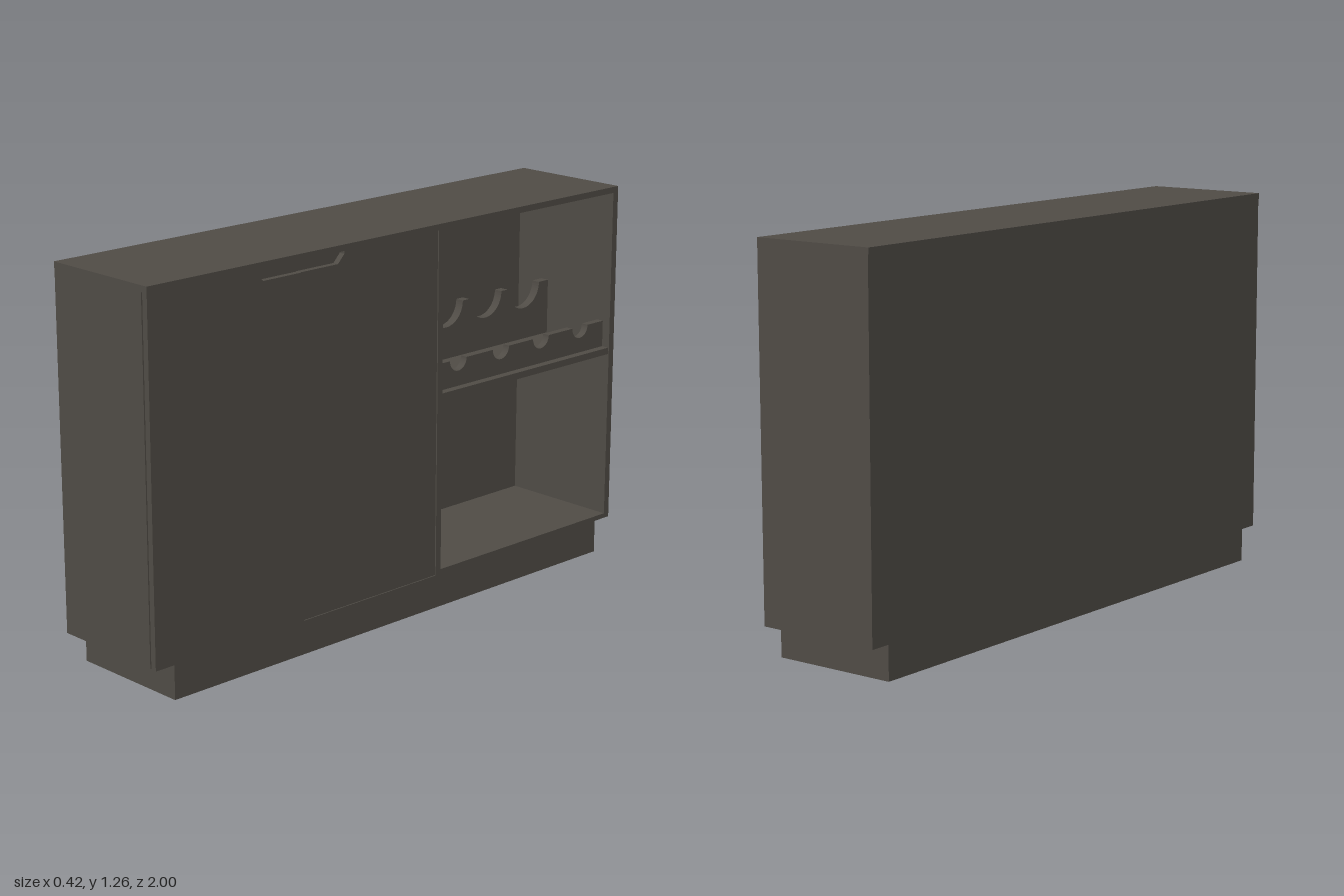
import * as THREE from 'three';

const BACK = -0.21, FRONT = 0.21, TOP = 1.26, BASE = 0.11, T = 0.02;

export function createModel() {
  const model = new THREE.Group();
  model.name = 'sideboard';
  const darkGrey = new THREE.MeshStandardMaterial({ color: 0x4f4b45 });
  darkGrey.name = 'dark grey';

  const add = (name, geometry) => {
    const mesh = new THREE.Mesh(geometry, darkGrey);
    mesh.name = name;
    model.add(mesh);
  };

  // Box given by its limits on each axis
  const panel = (name, x0, x1, y0, y1, z0, z1) => {
    const g = new THREE.BoxGeometry(x1 - x0, y1 - y0, z1 - z0);
    g.translate((x0 + x1) / 2, (y0 + y1) / 2, (z0 + z1) / 2);
    add(name, g);
  };

  // Upright board: outline drawn in (-z, y), thickness from x0 to x1
  const board = (name, shape, x0, x1) => {
    const g = new THREE.ExtrudeGeometry(shape, { depth: x1 - x0, bevelEnabled: false, curveSegments: 16 });
    g.rotateY(Math.PI / 2);
    g.translate(x0, 0, 0);
    add(name, g);
  };

  // Carcass
  panel('plinth', BACK, FRONT, 0, BASE, -0.93, 0.93);
  panel('topPanel', BACK - 0.002, FRONT, TOP - T, TOP, -1, 1);
  panel('backPanel', BACK, BACK + 0.006, BASE, TOP - T, -1, 1);
  panel('openEndPanel', BACK + 0.006, FRONT, BASE, TOP - T, -1, -0.977);
  panel('doorEndPanel', BACK + 0.006, 0.185, BASE, TOP - T, 1 - T, 1);
  panel('partition', BACK + 0.006, FRONT, BASE, TOP - T, -0.18, -0.158);
  panel('openFloor', BACK + 0.006, FRONT, BASE, 0.126, -0.977, -0.18);
  panel('cupboardFloor', BACK + 0.006, 0.185, BASE, 0.126, -0.158, 1 - T);
  panel('middleShelf', BACK + 0.006, 0.207, 0.69, 0.712, -0.977, -0.18);

  // Pair of doors sharing a cut-out finger grip at the top
  const door = (name, outerZ, gripTopZ, gripLowZ, face) => {
    const split = 0.416;
    const points = [
      [outerZ, BASE], [split, BASE], [split, 1.203], [gripLowZ, 1.203],
      [gripTopZ, 1.23], [gripTopZ, TOP - T], [outerZ, TOP - T],
    ];
    board(name, new THREE.Shape(points.map(([z, y]) => new THREE.Vector2(-z, y))), face - T, face);
  };
  door('leftDoor', 1, 0.597, 0.567, FRONT);
  door('rightDoor', -0.158, 0.24, 0.266, FRONT - 0.004);

  // Bottle racks with round notches along the top edge
  const rack = (name, top, centres, radius, x0, x1) => {
    const s = new THREE.Shape();
    s.moveTo(0.18, 0.712);
    s.lineTo(0.18, top);
    for (const u of centres) {
      s.lineTo(u - radius, top);
      s.absarc(u, top, radius, Math.PI, Math.PI * 2, false);
    }
    s.lineTo(0.977, top);
    s.lineTo(0.977, 0.712);
    s.closePath();
    board(name, s, x0, x1);
  };
  rack('frontRack', 0.8, [0.282, 0.479, 0.67, 0.862], 0.038, 0.155, 0.18);
  rack('rearRack', 0.897, [0.289, 0.482, 0.668, 0.854], 0.078, -0.1, -0.07);

  return model;
}
